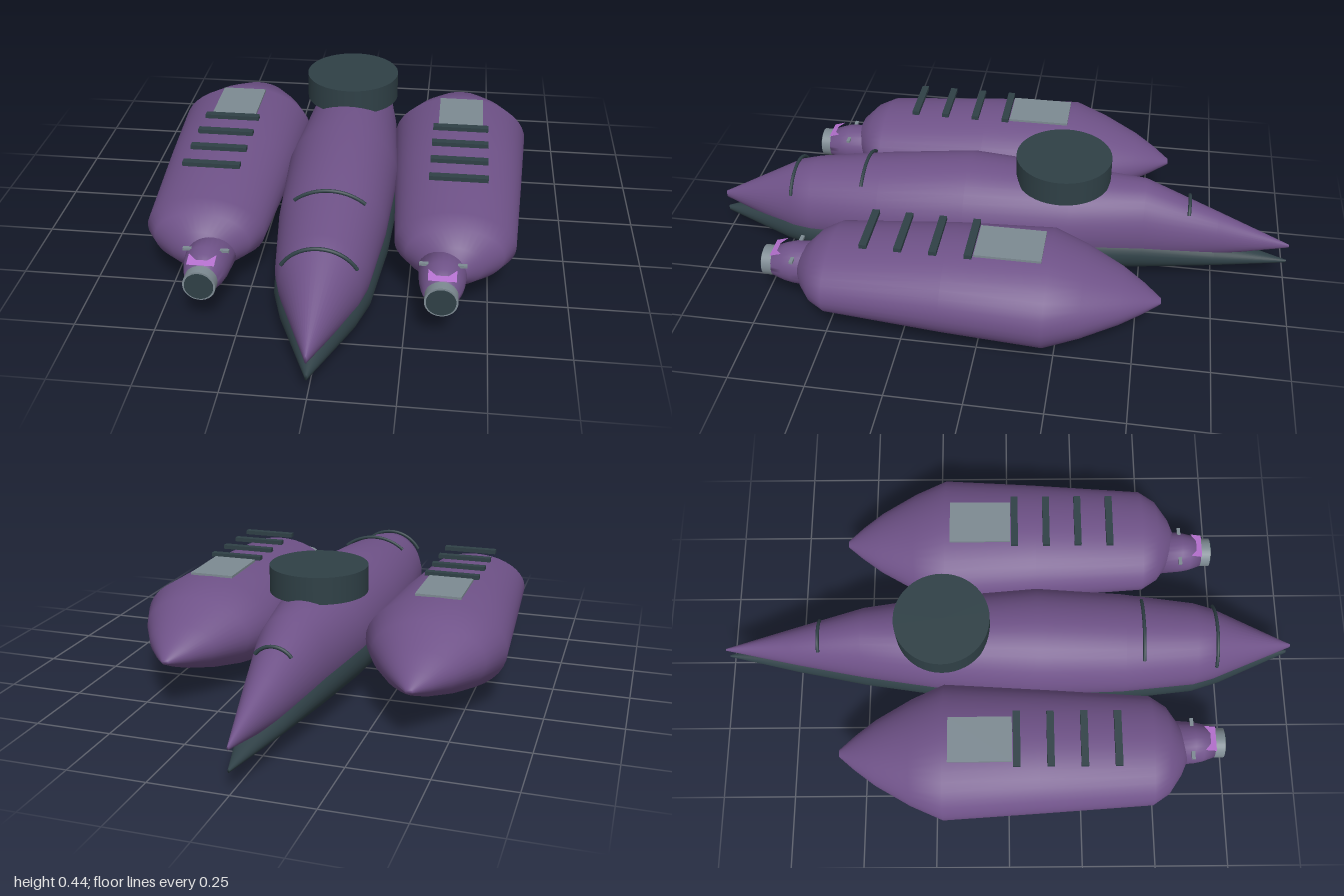
import * as THREE from 'three';

const paint = (name, color, side = THREE.FrontSide) => {
  const m = new THREE.MeshStandardMaterial({ color, side });
  m.name = name;
  return m;
};

// Skin through elliptical sections: [z, halfWidth, bottomY, topY], z ascending
function loft(rows, cx = 0, seg = 40) {
  const pos = [], idx = [];
  for (const [z, rx, lo, hi] of rows) {
    for (let j = 0; j < seg; j++) {
      const a = (j / seg) * Math.PI * 2;
      pos.push(cx + rx * Math.cos(a), (lo + hi) / 2 + ((hi - lo) / 2) * Math.sin(a), z);
    }
  }
  for (let i = 0; i < rows.length - 1; i++) {
    for (let j = 0; j < seg; j++) {
      const a = i * seg + j, b = i * seg + ((j + 1) % seg);
      idx.push(a, b, a + seg, b, b + seg, a + seg);
    }
  }
  // end caps
  const last = (rows.length - 1) * seg;
  for (let j = 1; j < seg - 1; j++) {
    idx.push(0, j + 1, j, last, last + j, last + j + 1);
  }
  const g = new THREE.BufferGeometry();
  g.setAttribute('position', new THREE.Float32BufferAttribute(pos, 3));
  g.setIndex(idx);
  g.computeVertexNormals();
  return g;
}

export function createModel() {
  const purple = paint('hullPurple', 0x6f5288);
  const dark = paint('darkSlate', 0x2f4046);
  const grey = paint('panelGrey', 0x7d8a92);
  const violet = paint('brightViolet', 0xb36fcc, THREE.DoubleSide);

  const model = new THREE.Group();
  const add = (parent, name, geo, mat, x = 0, y = 0, z = 0) => {
    const m = new THREE.Mesh(geo, mat);
    m.name = name;
    m.position.set(x, y, z);
    parent.add(m);
    return m;
  };

  // Central hull: purple upper shell and dark keel, parted at both tips
  add(model, 'upperHull', loft([
    [-1, 0.003, 0.135, 0.147], [-0.75, 0.062, 0.088, 0.25], [-0.5, 0.118, 0.05, 0.352],
    [-0.25, 0.158, 0.035, 0.366], [0.1, 0.186, 0.02, 0.385], [0.4, 0.172, 0.02, 0.35],
    [0.65, 0.143, 0.022, 0.317], [0.72, 0.122, 0.03, 0.302], [1, 0.004, 0.128, 0.155],
  ]), purple);
  add(model, 'keel', loft([
    [-1, 0.003, 0.068, 0.08], [-0.75, 0.068, 0.052, 0.14], [-0.5, 0.126, 0.036, 0.21],
    [-0.25, 0.166, 0.022, 0.24], [0.1, 0.195, 0.01, 0.25], [0.4, 0.18, 0.004, 0.22],
    [0.65, 0.148, 0, 0.19], [0.75, 0.115, 0.012, 0.165], [1, 0.004, 0.068, 0.09],
  ]), dark);

  // Round turret on the back
  add(model, 'dorsalDisc', new THREE.CylinderGeometry(0.16, 0.16, 0.088, 48), dark, 0, 0.391, -0.22);

  // Hoops over the hull: [z, peakY, radius, halfChord]
  for (const [z, peak, r, half] of [[0.715, 0.31, 0.13, 0.112], [0.46, 0.35, 0.171, 0.11], [-0.65, 0.303, 0.071, 0.057]]) {
    const a = Math.asin(half / r);
    const arc = new THREE.TorusGeometry(r, 0.006, 8, 24, a * 2);
    arc.rotateZ(Math.PI / 2 - a);
    add(model, 'hullHoop', arc, dark, 0, peak - r, z);
  }

  // Side pods
  for (const s of [1, -1]) {
    const pod = new THREE.Group();
    pod.name = s > 0 ? 'leftPod' : 'rightPod';
    model.add(pod);
    const cx = 0.39 * s, nx = 0.357 * s, ny = 0.162;

    add(pod, 'podBody', loft([
      [-0.575, 0.012, 0.172, 0.188], [-0.52, 0.06, 0.145, 0.225], [-0.45, 0.113, 0.115, 0.264],
      [-0.33, 0.183, 0.072, 0.315], [-0.22, 0.232, 0.04, 0.352], [0.1, 0.212, 0.05, 0.345],
      [0.48, 0.187, 0.08, 0.312], [0.535, 0.15, 0.096, 0.29], [0.58, 0.085, 0.115, 0.25],
      [0.61, 0.02, 0.15, 0.19],
    ], cx), purple);

    // Top panel and raised bars
    add(pod, 'topPanel', new THREE.BoxGeometry(0.15, 0.008, 0.21), grey, cx, 0.354, -0.095);
    for (let i = 0; i < 4; i++) {
      add(pod, 'topBar', new THREE.BoxGeometry(0.184, 0.014, 0.024), dark, cx, 0.361, 0.025 + i * 0.11);
    }

    // Nose gun: neck, muzzle ring, dark lens
    add(pod, 'noseNeck', loft([
      [0.54, 0.078, 0.088, 0.238], [0.63, 0.07, 0.092, 0.235], [0.66, 0.064, 0.098, 0.226],
      [0.7, 0.05, 0.112, 0.212],
    ], nx, 28), purple);
    const ring = new THREE.CylinderGeometry(0.05, 0.05, 0.04, 32).rotateX(Math.PI / 2);
    add(pod, 'muzzleRing', ring, grey, nx, ny, 0.712);
    const lens = new THREE.CylinderGeometry(0.044, 0.044, 0.006, 32).rotateX(Math.PI / 2);
    add(pod, 'muzzleLens', lens, dark, nx, ny, 0.732);

    // Clips and bright notched plate over the neck
    for (const t of [1, -1]) {
      add(pod, 'neckClip', new THREE.BoxGeometry(0.036, 0.008, 0.012), grey, nx + t * 0.053, 0.216, 0.62);
    }
    const plate = new THREE.Shape([[-0.042, 0], [0.042, 0], [0.042, 0.042], [0.018, 0.02], [-0.018, 0.02], [-0.042, 0.042]]
      .map(([x, y]) => new THREE.Vector2(x, y)));
    add(pod, 'neckPlate', new THREE.ShapeGeometry(plate), violet, nx, 0.214, 0.7).rotation.x = -Math.PI / 2 + 0.3;
  }
  return model;
}
